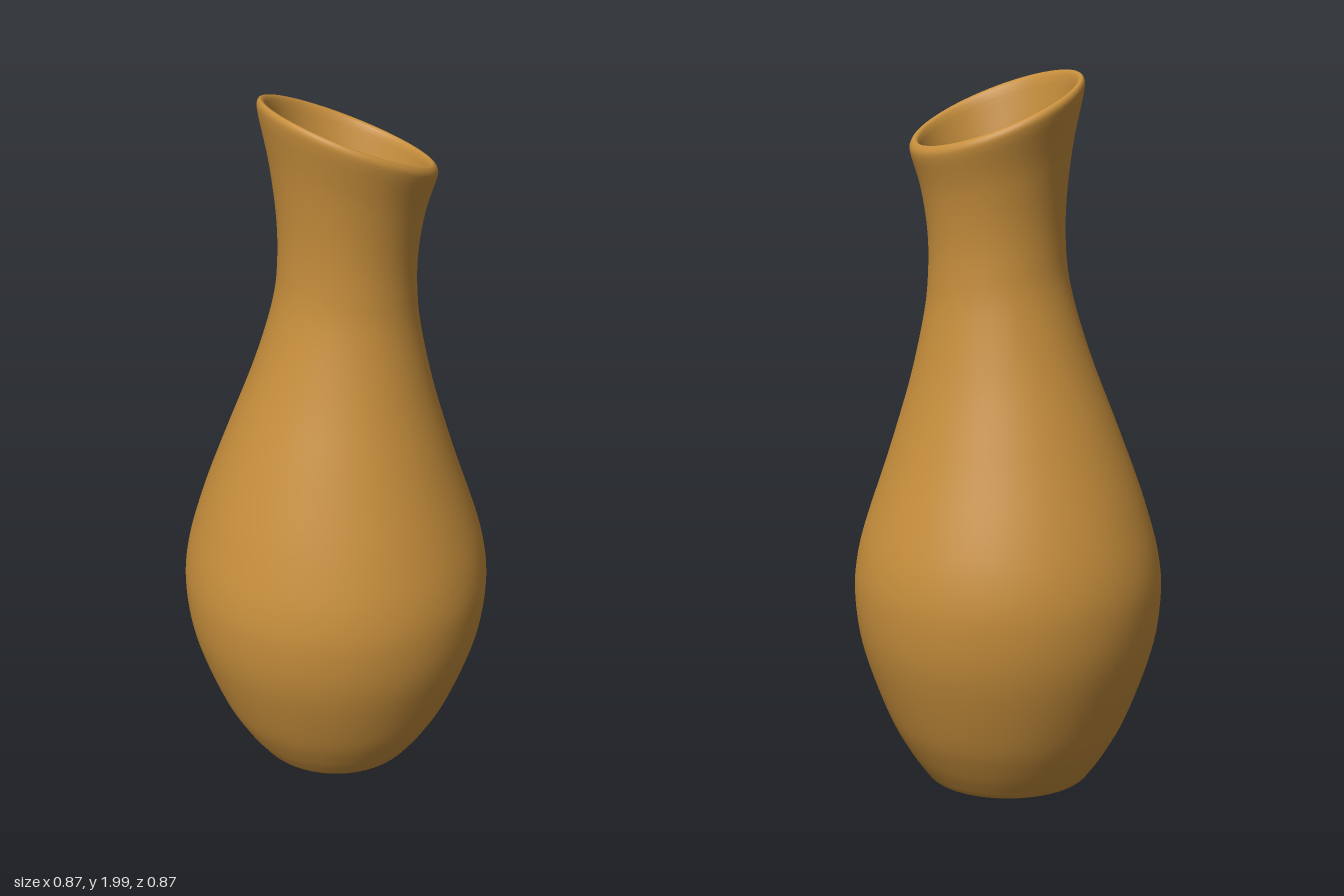
import * as THREE from 'three';
import { mergeVertices } from 'three/addons/utils/BufferGeometryUtils.js';

const TILT = THREE.MathUtils.degToRad(23.3);

// Smooth curve through [radius, height] pairs
function smooth(points, divisions) {
  const curve = new THREE.SplineCurve(points.map(([r, y]) => new THREE.Vector2(r, y)));
  return curve.getPoints(divisions);
}

export function createModel() {
  const group = new THREE.Group();
  group.name = 'carafe';

  // Closed profile: base, outer wall, rolled lip, inner wall, inner floor
  const base = smooth([[0, 0.004], [0.12, 0.004], [0.2, 0.003], [0.222, 0.006], [0.238, 0.022]], 16);
  const outer = smooth([
    [0.238, 0.022], [0.285, 0.09], [0.343, 0.2], [0.41, 0.39], [0.432, 0.54], [0.423, 0.66],
    [0.385, 0.8], [0.316, 1.0], [0.249, 1.2], [0.204, 1.38], [0.192, 1.5], [0.196, 1.62],
    [0.217, 1.75], [0.247, 1.855],
  ], 80);
  const lip = smooth([
    [0.247, 1.855], [0.253, 1.882], [0.249, 1.897], [0.24, 1.902], [0.23, 1.895], [0.222, 1.875],
  ], 16);
  const inner = smooth([
    [0.222, 1.875], [0.192, 1.75], [0.171, 1.62], [0.167, 1.5], [0.178, 1.38], [0.223, 1.2],
    [0.29, 1.0], [0.36, 0.8], [0.406, 0.54], [0.384, 0.39], [0.318, 0.2], [0.25, 0.1],
    [0.2, 0.05], [0.1, 0.035], [0, 0.035],
  ], 70);
  const profile = [...base, ...outer.slice(1), ...lip.slice(1), ...inner.slice(1)];
  profile[0].x = profile[profile.length - 1].x = 0;

  let geometry = new THREE.LatheGeometry(profile, 96);

  // Tilt the rings more and more towards the mouth and shift the neck sideways
  const pos = geometry.attributes.position;
  for (let i = 0; i < pos.count; i++) {
    const x = pos.getX(i), y = pos.getY(i);
    const angle = TILT * Math.pow(THREE.MathUtils.clamp((y - 0.7) / 1.2, 0, 1), 1.6);
    const shift = 0.034 * THREE.MathUtils.smoothstep(y, 0.8, 1.5);
    pos.setX(i, x * Math.cos(angle) + shift);
    pos.setY(i, y - x * Math.sin(angle));
  }

  // Weld the seam so that the shading is continuous
  geometry.deleteAttribute('uv');
  geometry.deleteAttribute('normal');
  geometry = mergeVertices(geometry, 1e-5);
  geometry.computeVertexNormals();

  const body = new THREE.Mesh(geometry, new THREE.MeshStandardMaterial({ color: 0xc68e3c }));
  body.name = 'carafeBody';
  group.add(body);
  return group;
}
